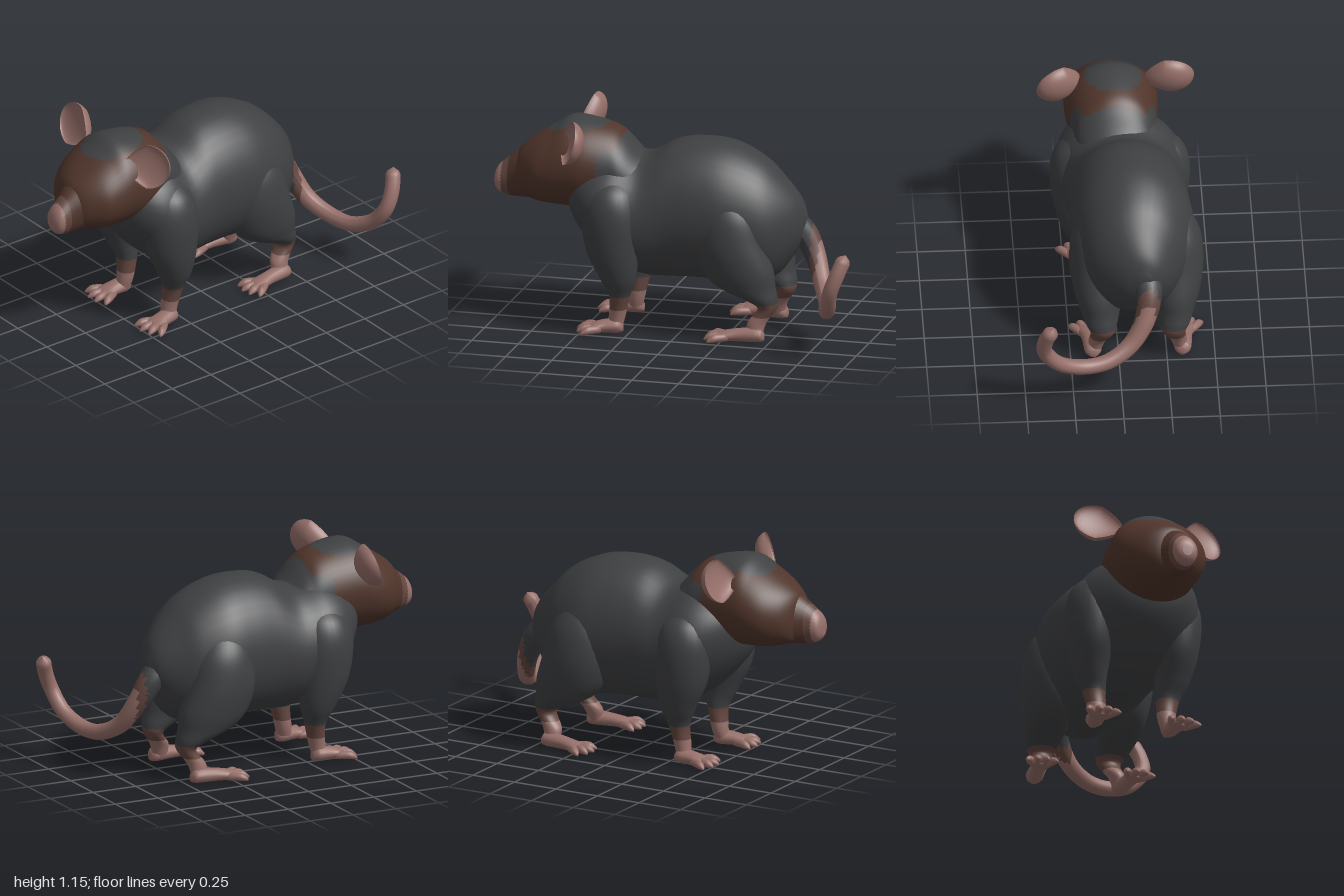
import * as THREE from 'three';

const mat = (c) => new THREE.MeshStandardMaterial({ color: c });
const FUR = 0, BROWN = 1, PINK = 2, DARKSKIN = 3;
const mats = [mat(0x3f4042), mat(0x50352b), mat(0x966f69), mat(0x644740)];

// Smooth skin over elliptical rings. Each section is [along, a, b, ra, rb]:
// axis 'z' -> [z, x, y, rx, ry], axis 'y' -> [y, x, z, rx, rz], ascending.
function loft(axis, sections, steps = 40, sides = 32) {
  const mid = new THREE.CatmullRomCurve3(sections.map((s) => new THREE.Vector3(s[1], s[2], s[0])), false, 'catmullrom', 0.5);
  const rad = new THREE.CatmullRomCurve3(sections.map((s) => new THREE.Vector3(s[3], s[4], 0)), false, 'catmullrom', 0.5);
  const pos = [], idx = [];
  const put = (a, b, w) => (axis === 'z' ? pos.push(a, b, w) : pos.push(a, w, b));
  for (let i = 0; i <= steps; i++) {
    const c = mid.getPoint(i / steps), r = rad.getPoint(i / steps);
    for (let j = 0; j < sides; j++) {
      const t = (axis === 'z' ? 1 : -1) * (j / sides) * Math.PI * 2;
      put(c.x + r.x * Math.cos(t), c.y + r.y * Math.sin(t), c.z);
    }
  }
  for (let i = 0; i < steps; i++) {
    for (let j = 0; j < sides; j++) {
      const k = (j + 1) % sides, a = i * sides + j, b = i * sides + k;
      idx.push(a, b, a + sides, b, b + sides, a + sides);
    }
  }
  // Closed ends
  const first = mid.getPoint(0), last = mid.getPoint(1), n = (steps + 1) * sides;
  put(first.x, first.y, first.z);
  put(last.x, last.y, last.z);
  for (let j = 0; j < sides; j++) {
    const k = (j + 1) % sides;
    idx.push(n, k, j, n + 1, steps * sides + j, steps * sides + k);
  }
  const g = new THREE.BufferGeometry();
  g.setAttribute('position', new THREE.Float32BufferAttribute(pos, 3));
  g.setIndex(idx);
  g.computeVertexNormals();
  return g;
}

// Sort the triangles into colour groups by a rule on their centre
function painted(name, g, rule) {
  const p = g.attributes.position, src = g.index.array, buckets = mats.map(() => []);
  for (let i = 0; i < src.length; i += 3) {
    const c = new THREE.Vector3();
    for (let k = 0; k < 3; k++) c.add(new THREE.Vector3().fromBufferAttribute(p, src[i + k]));
    c.divideScalar(3);
    buckets[rule(c)].push(src[i], src[i + 1], src[i + 2]);
  }
  g.setIndex(buckets.flat());
  let start = 0;
  buckets.forEach((b, m) => {
    if (b.length) g.addGroup(start, b.length, m);
    start += b.length;
  });
  const mesh = new THREE.Mesh(g, mats);
  mesh.name = name;
  return mesh;
}

// Flat foot with splayed, pointed toes; origin at the heel on the ground
function paw(name, length, width, toeLength) {
  const foot = new THREE.Group();
  foot.name = name;
  const sole = new THREE.Mesh(loft('z', [
    [-0.05, 0, 0.035, 0.02, 0.02], [-0.02, 0, 0.045, 0.045, 0.038],
    [length * 0.5, 0, 0.042, width * 0.8, 0.034], [length, 0, 0.033, width, 0.025],
    [length + 0.025, 0, 0.028, width * 0.6, 0.016],
  ], 16, 16), mats[PINK]);
  sole.name = 'sole';
  foot.add(sole);
  for (let i = 0; i < 4; i++) {
    const u = (i - 1.5) / 1.5;
    const toe = new THREE.Mesh(loft('z', [
      [-0.02, 0, 0.032, 0.018, 0.02], [toeLength * 0.5, 0, 0.034, 0.022, 0.022],
      [toeLength * 0.8, 0, 0.028, 0.016, 0.016], [toeLength, 0, 0.02, 0.005, 0.006],
    ], 8, 10), mats[PINK]);
    toe.name = 'toe';
    toe.position.set(u * width * 0.75, 0, length - Math.abs(u) * 0.02);
    toe.rotation.y = u * 0.5;
    foot.add(toe);
  }
  return foot;
}

// Deeply cupped ear: a sphere whose front half is pushed inwards
function ear(side, x, y, z, turn) {
  const g = new THREE.SphereGeometry(1, 28, 20), p = g.attributes.position;
  for (let i = 0; i < p.count; i++) {
    const u = p.getX(i) * side, w = p.getZ(i);
    const taper = u < 0 ? 1 + 0.4 * u : 1;
    p.setXYZ(i, p.getX(i) * 0.13, p.getY(i) * 0.115 * taper, w > 0 ? -w * 0.035 : w * 0.08);
  }
  g.computeVertexNormals();
  const m = new THREE.Mesh(g, mats[PINK]);
  m.name = side > 0 ? 'leftEar' : 'rightEar';
  m.position.set(x, y, z);
  m.rotation.set(-0.3, turn, side * 0.25);
  return m;
}

// Tail swept along a curve, thick at the root and closed at the tip
function tailGeometry() {
  const path = new THREE.CatmullRomCurve3([
    [-0.13, 0.6, -0.52], [-0.15, 0.53, -0.61], [-0.13, 0.42, -0.675], [-0.05, 0.29, -0.735], [0.07, 0.225, -0.79],
    [0.2, 0.22, -0.825], [0.33, 0.28, -0.87], [0.405, 0.38, -0.9], [0.405, 0.47, -0.935], [0.365, 0.58, -0.975],
  ].map((q) => new THREE.Vector3(...q)));
  const steps = 64, sides = 14, g = new THREE.TubeGeometry(path, steps, 1, sides), p = g.attributes.position;
  for (let i = 0; i < p.count; i++) {
    const t = Math.floor(i / (sides + 1)) / steps, c = path.getPointAt(t);
    const r = (0.04 + 0.05 * Math.pow(1 - t, 5)) * Math.sqrt(Math.min(1, (1 - t) / 0.03));
    const v = new THREE.Vector3().fromBufferAttribute(p, i).sub(c).multiplyScalar(r).add(c);
    p.setXYZ(i, v.x, v.y, v.z);
  }
  g.computeVertexNormals();
  return g;
}

export function createModel() {
  const model = new THREE.Group();
  model.name = 'rodent';

  // Arched trunk, rump to chest
  model.add(painted('body', loft('z', [
    [-0.63, -0.13, 0.6, 0.03, 0.04], [-0.59, -0.11, 0.6, 0.12, 0.14], [-0.5, -0.09, 0.59, 0.215, 0.26],
    [-0.4, -0.09, 0.61, 0.275, 0.33], [-0.25, -0.09, 0.64, 0.315, 0.37], [-0.1, -0.08, 0.655, 0.315, 0.375],
    [0.05, -0.07, 0.645, 0.31, 0.365], [0.2, -0.06, 0.61, 0.32, 0.325], [0.35, -0.045, 0.65, 0.335, 0.31],
    [0.47, -0.03, 0.69, 0.295, 0.245], [0.57, -0.02, 0.73, 0.185, 0.155], [0.62, -0.02, 0.74, 0.03, 0.03],
  ], 64, 40), () => FUR));

  // Neck and round head: brown mask, grey crown
  model.add(painted('head', loft('z', [
    [0.12, -0.04, 0.75, 0.14, 0.1], [0.22, -0.03, 0.78, 0.19, 0.15], [0.3, -0.02, 0.82, 0.21, 0.2],
    [0.37, -0.02, 0.85, 0.22, 0.225], [0.5, -0.01, 0.87, 0.24, 0.24], [0.6, -0.01, 0.875, 0.245, 0.24],
    [0.68, -0.01, 0.855, 0.242, 0.215], [0.76, -0.005, 0.835, 0.22, 0.185], [0.83, 0, 0.82, 0.165, 0.15],
    [0.87, 0.01, 0.805, 0.11, 0.12], [0.89, 0.02, 0.795, 0.05, 0.06],
  ], 72, 48), (c) => {
    if (c.y > 0.98 && Math.hypot((c.x + 0.02) / 0.15, (c.z - 0.565) / 0.165) < 1) return FUR;
    return c.z < (c.y > 0.98 ? 0.32 : 0.42) ? FUR : BROWN;
  }));

  // Short snout with a blunt pink nose
  model.add(painted('snout', loft('z', [
    [0.7, 0, 0.82, 0.18, 0.15], [0.8, 0.01, 0.815, 0.15, 0.15], [0.87, 0.025, 0.795, 0.102, 0.128],
    [0.92, 0.035, 0.778, 0.075, 0.106], [0.97, 0.04, 0.765, 0.064, 0.078], [0.99, 0.04, 0.76, 0.05, 0.055],
    [1.0, 0.04, 0.755, 0.025, 0.03],
  ], 40, 28), (c) => {
    if (c.z > 0.955) return PINK;
    return c.z > 0.92 ? DARKSKIN : BROWN;
  }));
  model.add(ear(1, 0.265, 1.04, 0.55, 0.45), ear(-1, -0.315, 1.045, 0.59, -0.1));

  for (const s of [1, -1]) {
    const label = s > 0 ? 'left' : 'right';
    const legPaint = (c) => (c.y > 0.21 ? FUR : c.y > 0.14 ? DARKSKIN : PINK);

    // Front leg with shoulder
    const fx = (d) => -0.045 + s * d;
    model.add(painted(label + 'FrontLeg', loft('y', [
      [0.02, fx(0.2), 0.33, 0.035, 0.04], [0.1, fx(0.19), 0.315, 0.047, 0.044], [0.21, fx(0.2), 0.3, 0.062, 0.055],
      [0.31, fx(0.222), 0.305, 0.088, 0.095], [0.46, fx(0.23), 0.33, 0.12, 0.14], [0.64, fx(0.225), 0.34, 0.14, 0.155],
      [0.76, fx(0.205), 0.34, 0.13, 0.13], [0.83, fx(0.17), 0.34, 0.09, 0.08], [0.87, fx(0.15), 0.34, 0.03, 0.03],
    ], 48, 28), legPaint));
    // The right front paw points straight ahead, the left one turns out
    const frontPaw = paw(label + 'FrontPaw', 0.11, 0.06, 0.09);
    frontPaw.position.set(fx(0.205), 0, 0.33);
    frontPaw.rotation.y = s > 0 ? 0.22 : 0;
    model.add(frontPaw);

    // Hind leg with broad haunch
    const hx = (d) => -0.1 + s * d;
    model.add(painted(label + 'HindLeg', loft('y', [
      [0.02, hx(0.23), -0.42, 0.035, 0.035], [0.1, hx(0.21), -0.425, 0.044, 0.05], [0.18, hx(0.185), -0.475, 0.062, 0.05],
      [0.23, hx(0.19), -0.44, 0.085, 0.09], [0.29, hx(0.195), -0.365, 0.11, 0.155], [0.38, hx(0.2), -0.32, 0.133, 0.19],
      [0.52, hx(0.205), -0.28, 0.145, 0.185], [0.68, hx(0.19), -0.265, 0.138, 0.16], [0.8, hx(0.15), -0.25, 0.1, 0.1],
      [0.86, hx(0.12), -0.25, 0.03, 0.03],
    ], 56, 32), legPaint));
    const hindPaw = paw(label + 'HindPaw', 0.18, 0.05, 0.09);
    hindPaw.position.set(hx(0.235), 0, -0.42);
    hindPaw.rotation.y = s * 0.14;
    model.add(hindPaw);
  }

  // Tail: furred root, bare length
  model.add(painted('tail', tailGeometry(), (c) => {
    if (c.x > -0.05 || c.z < -0.7) return PINK;
    return c.z < -0.66 ? DARKSKIN : FUR;
  }));
  return model;
}
